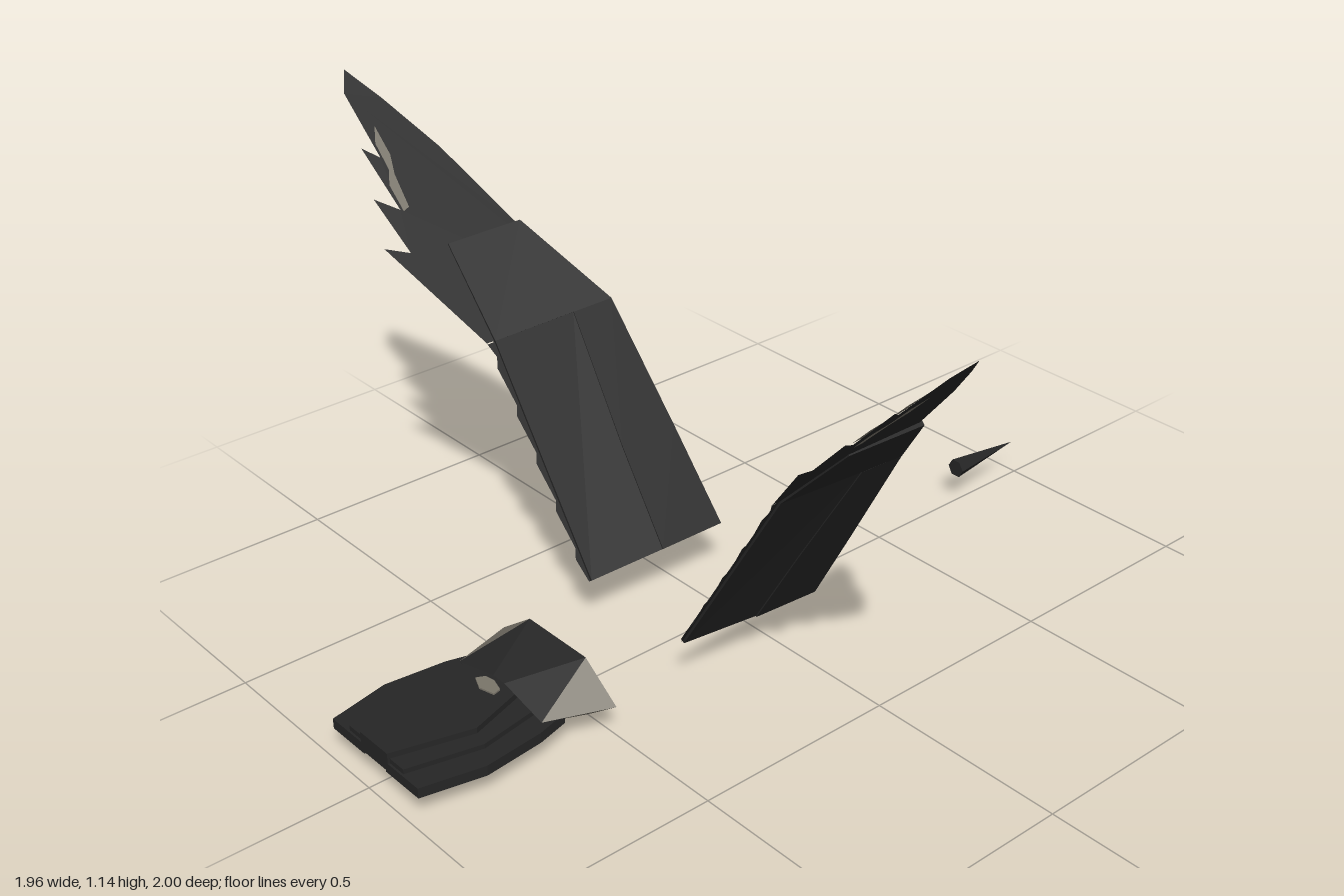
import * as THREE from 'three';

const dark = new THREE.MeshStandardMaterial({ color: 0x262626, side: THREE.DoubleSide, flatShading: true });
dark.name = 'charcoal feather';
const pale = new THREE.MeshStandardMaterial({ color: 0x7a756a, side: THREE.DoubleSide, flatShading: true });
pale.name = 'pale down';

function mesh(name, geometry, material) {
  const m = new THREE.Mesh(geometry, material);
  m.name = name;
  return m;
}

// Flat-faced geometry from a list of polygons (arrays of Vector3)
function faces(polygons) {
  const points = [];
  for (const p of polygons) {
    for (let i = 1; i < p.length - 1; i++) points.push(p[0], p[i], p[i + 1]);
  }
  const g = new THREE.BufferGeometry().setFromPoints(points);
  g.computeVertexNormals();
  return g;
}

const shapeOf = (pts) => new THREE.Shape(pts.map(([x, y]) => new THREE.Vector2(x, y)));

// Point on the raised wing: x across the chord, y up the span, off along the normal
function wingPoint(x, y, off, side) {
  const z = y < 0.63 ? 0.163 + (y - 0.13) * 0.634 : 0.48 + (y - 0.63);
  const [ny, nz] = y < 0.6 ? [0.535, -0.845] : y < 0.66 ? [0.625, -0.78] : [0.707, -0.707];
  return new THREE.Vector3(x, y + ny * off, (z + nz * off) * side);
}

// Tapering plate; rows are [y, leading x, trailing x, leading half thickness, trailing half thickness]
function wingPlate(rows, side) {
  const rings = rows.map(([y, xl, xt, tl, tt]) =>
    [[xl, tl], [xt, tt], [xt, -tt], [xl, -tl]].map(([x, o]) => wingPoint(x, y, o, side)));
  const polys = [[...rings[0]].reverse(), rings[rings.length - 1]];
  for (let r = 0; r < rings.length - 1; r++) {
    for (let i = 0; i < 4; i++) {
      const j = (i + 1) % 4;
      polys.push([rings[r][i], rings[r][j], rings[r + 1][j], rings[r + 1][i]]);
    }
  }
  return faces(side > 0 ? polys : polys.map((p) => [...p].reverse()));
}

// Flat outline in x, y laid onto the wing surface
function wingSheet(outline, off, side) {
  const g = new THREE.ShapeGeometry(shapeOf(outline));
  const pos = g.attributes.position;
  for (let i = 0; i < pos.count; i++) {
    const p = wingPoint(pos.getX(i), pos.getY(i), off, side);
    pos.setXYZ(i, p.x, p.y, p.z);
  }
  g.computeVertexNormals();
  return g;
}

function makeWing(side) {
  const wing = new THREE.Group();
  wing.name = side > 0 ? 'leftWing' : 'rightWing';
  wing.add(mesh('wingArm', wingPlate([
    [0.13, 0.095, -0.08, 0.034, 0.026],
    [0.35, 0.073, -0.08, 0.028, 0.021],
    [0.63, 0.04, -0.07, 0.021, 0.016],
  ], side), dark));
  wing.add(mesh('wingCoverts', wingPlate([
    [0.13, -0.08, -0.28, 0.023, 0.006],
    [0.63, -0.07, -0.29, 0.014, 0.005],
  ], side), dark));
  wing.add(mesh('wingHand', wingPlate([
    [0.63, 0.04, -0.29, 0.021, 0.005],
    [0.81, -0.078, -0.28, 0.009, 0.003],
  ], side), dark));

  // Stepped trailing feathers of the inner wing
  const steps = [[-0.2, 0.13], [-0.284, 0.13]];
  for (let k = 0; k < 5; k++) {
    const y = 0.18 + k * 0.1;
    steps.push([-0.296 - k * 0.003, y], [-0.286 - k * 0.003, y + 0.02]);
  }
  steps.push([-0.31, 0.629], [-0.2, 0.629]);
  wing.add(mesh('innerFeathers', wingSheet(steps, 0, side), dark));

  // Fingered outer feathers
  wing.add(mesh('outerFeathers', wingSheet([
    [0.03, 0.631], [-0.085, 0.81], [-0.175, 0.975], [-0.255, 1.085], [-0.31, 1.15],
    [-0.34, 1.11], [-0.333, 0.985], [-0.367, 1.01], [-0.35, 0.89], [-0.4, 0.92],
    [-0.378, 0.815], [-0.435, 0.835], [-0.31, 0.631],
  ], 0, side), dark));

  // Pale patches near the feather tips, on both faces
  for (const off of [0.004, -0.004]) {
    wing.add(mesh('palePatch', wingSheet([
      [-0.346, 0.885], [-0.328, 0.89], [-0.322, 0.95], [-0.308, 0.985], [-0.31, 1.04],
      [-0.33, 1.01], [-0.33, 0.96], [-0.348, 0.935],
    ], off, side), pale));
  }
  return wing;
}

// Horizontal slab from an x, z outline
function slab(outline, bottom, thickness) {
  const g = new THREE.ExtrudeGeometry(shapeOf(outline), { depth: thickness, bevelEnabled: false });
  g.rotateX(Math.PI / 2);
  g.translate(0, bottom + thickness, 0);
  return g;
}

function makeTail() {
  const tail = new THREE.Group();
  tail.name = 'tail';

  // Hollow rump: hexagonal rim narrowing toward the feathers
  const ring = (x, zTop, zSide, top, mid, low) =>
    [[zTop, top], [zSide, mid], [zTop, low], [-zTop, low], [-zSide, mid], [-zTop, top]]
      .map(([z, y]) => new THREE.Vector3(x, y, z));
  const f = ring(-0.5, 0.1, 0.203, 0.155, 0.08, 0.005);
  const b = ring(-0.66, 0.02, 0.15, 0.12, 0.088, 0.058);
  const darkFaces = [[f[5], f[0], b[0], b[5]], [f[2], f[3], b[3], b[2]]];
  const paleFaces = [];
  for (const [edge, side] of [[0, 1], [2, 1], [3, 4], [5, 4]]) {
    const flip = (p) => (edge === 0 || edge === 3 ? p : p.reverse());
    paleFaces.push(flip([f[edge], f[side], b[side]]));
    darkFaces.push(flip([f[edge], b[side], b[edge]]));
  }
  tail.add(mesh('rump', faces(darkFaces), dark));
  tail.add(mesh('rumpSides', faces(paleFaces), pale));

  // Side feathers, mirrored, with a second layer on top
  for (const s of [1, -1]) {
    const mirror = (pts) => pts.map(([x, z]) => [x, z * s]);
    tail.add(mesh('sideFeather', slab(mirror([
      [-0.6, 0.02], [-0.6, 0.152], [-0.68, 0.174], [-0.83, 0.19], [-0.98, 0.158], [-0.98, 0.04],
    ]), 0.06, 0.025), dark));
    tail.add(mesh('upperFeather', slab(mirror([
      [-0.63, 0.01], [-0.63, 0.11], [-0.8, 0.14], [-0.975, 0.1], [-0.975, 0.03],
    ]), 0.083, 0.014), dark));
  }
  tail.add(mesh('middleFeather', slab([
    [-0.64, 0.05], [-0.79, 0.1], [-0.98, 0.05], [-0.98, -0.05], [-0.79, -0.1], [-0.64, -0.05],
  ], 0.065, 0.046), dark));

  // Small pale tufts above and below
  const tuft = [[-0.665, -0.01], [-0.675, 0.025], [-0.695, 0.03], [-0.705, -0.01], [-0.69, -0.045], [-0.67, -0.035]];
  tail.add(mesh('topTuft', slab(tuft, 0.11, 0.005), pale));
  tail.add(mesh('lowerTuft', slab(tuft, 0.056, 0.005), pale));
  return tail;
}

export function createModel() {
  const bird = new THREE.Group();
  bird.name = 'bird';
  bird.add(makeWing(1), makeWing(-1), makeTail());

  // Slender pointed beak
  const beak = new THREE.ConeGeometry(0.024, 0.21, 6);
  beak.rotateZ(-Math.PI / 2);
  beak.translate(0.875, 0.1, 0);
  bird.add(mesh('beak', beak, dark));
  return bird;
}
